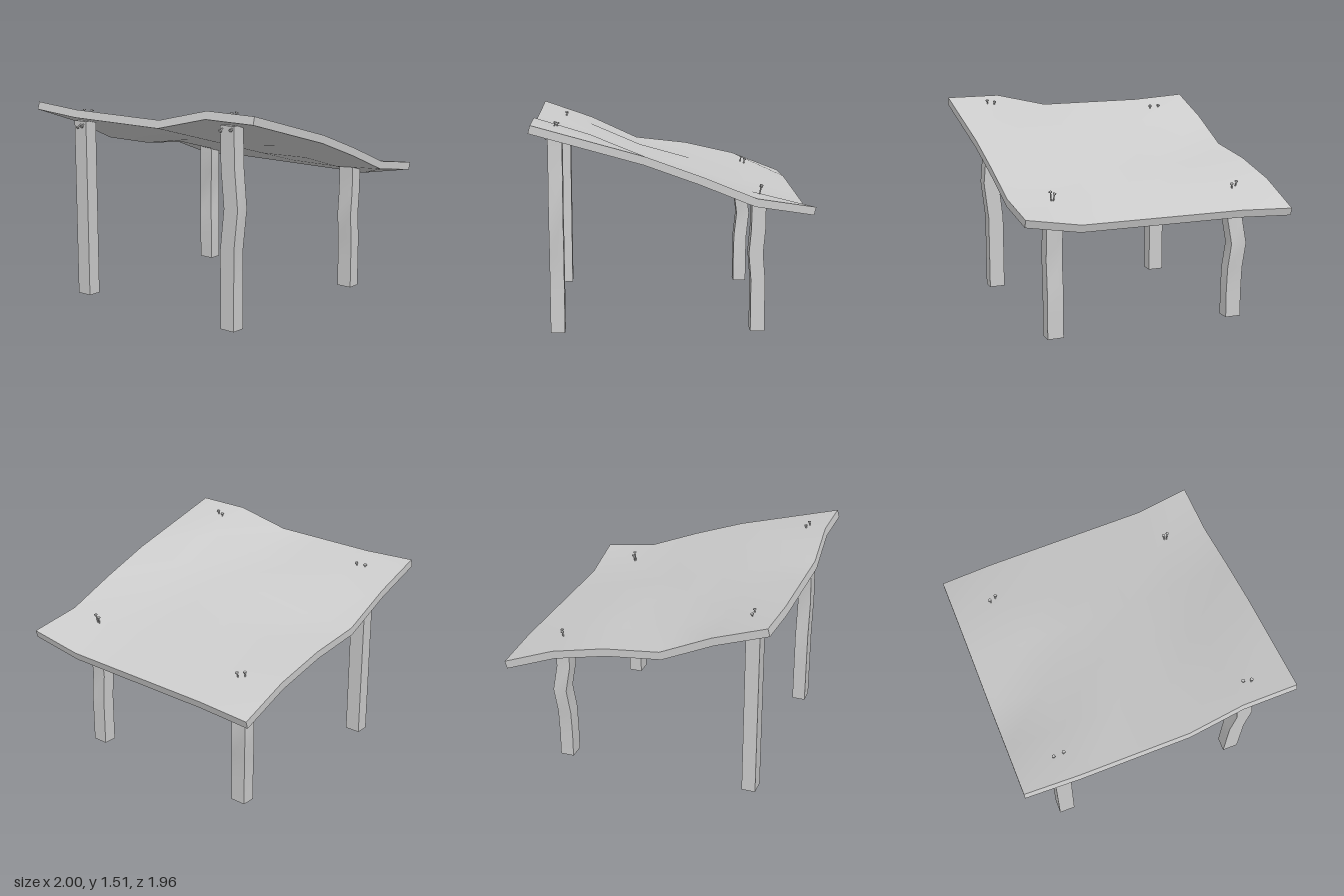
import * as THREE from 'three';

const material = new THREE.MeshStandardMaterial({ color: 0xcccccc });
const TILT = 0.274;

// Warp of the board: rows run front to back, columns from -x to +x
const WARP = [
  [0.025, 0, 0, 0, 0.1, 0.1],
  [0, 0, 0, 0, 0.09, 0.1],
  [-0.065, -0.065, 0, 0, 0.04, 0.1],
  [0, 0, 0, 0, 0.01, 0.07],
  [0.02, 0, 0, 0, 0, 0.025],
  [-0.02, 0, 0, 0, 0, 0.075],
];

function addMesh(parent, geometry, name) {
  const mesh = new THREE.Mesh(geometry, material);
  mesh.name = name;
  parent.add(mesh);
  return mesh;
}

// Tilted, warped slab
function boardGeometry() {
  const g = new THREE.BoxGeometry(2, 0.057, 2, 5, 1, 5);
  const p = g.attributes.position;
  for (let i = 0; i < p.count; i++) {
    const col = Math.round((p.getX(i) + 1) / 0.4);
    const row = Math.round((1 - p.getZ(i)) / 0.4);
    p.setY(i, p.getY(i) + WARP[row][col]);
  }
  g.rotateX(-TILT).translate(0, 1.117, 0);
  g.computeVertexNormals();
  return g;
}

// Square post in five sections; bends maps a section ring to its [x, z] shift
function legGeometry(height, bends) {
  const g = new THREE.BoxGeometry(0.118, height, 0.1, 1, 5, 1);
  g.translate(0, height / 2, 0);
  const p = g.attributes.position;
  for (let i = 0; i < p.count; i++) {
    const [dx, dz] = bends[Math.round((p.getY(i) / height) * 5)] || [0, 0];
    p.setX(i, p.getX(i) + dx);
    p.setZ(i, p.getZ(i) + dz);
  }
  g.computeVertexNormals();
  return g;
}

// Nail with its head at the given point, its shaft running along dir
function addNail(parent, head, dir, name) {
  const nail = new THREE.Group();
  nail.name = name;
  addMesh(nail, new THREE.CylinderGeometry(0.012, 0.012, 0.008, 10), 'nailHead');
  addMesh(nail, new THREE.CylinderGeometry(0.005, 0.005, 0.08, 8), 'nailShaft').position.y = -0.04;
  nail.position.set(...head);
  nail.quaternion.setFromUnitVectors(
    new THREE.Vector3(0, -1, 0), new THREE.Vector3(...dir).normalize());
  parent.add(nail);
}

export function createModel() {
  const model = new THREE.Group();
  model.name = 'slopedTable';
  addMesh(model, boardGeometry(), 'board');

  // Legs
  const legs = [
    ['frontRightLeg', -0.695, 0.78, 1.31, {}],
    ['frontLeftLeg', 0.692, 0.78, 1.41, { 3: [0.032, 0], 4: [0.006, 0] }],
    ['backRightLeg', -0.695, -0.63, 0.93, { 2: [-0.006, -0.004], 3: [-0.023, -0.025] }],
    ['backLeftLeg', 0.692, -0.63, 0.94, { 3: [0, 0.016] }],
  ];
  for (const [name, x, z, height, bends] of legs) {
    addMesh(model, legGeometry(height, bends), name).position.set(x, 0, z);
  }

  // Nails driven down through the board
  const topNails = [
    [-0.72, 1.385, 0.76], [-0.645, 1.385, 0.755],
    [0.675, 1.485, 0.76], [0.73, 1.495, 0.775],
    [-0.72, 1.01, -0.64], [-0.67, 1.0, -0.665],
    [0.68, 1.03, -0.65], [0.71, 1.045, -0.65],
  ];
  topNails.forEach((head, i) =>
    addNail(model, head, [i % 2 ? -0.15 : 0.1, -1, 0.2], 'boardNail'));

  // Nails driven at a slant into the legs
  const sideNails = [
    [-0.695, 1.265, 0.86], [-0.66, 1.275, 0.85],
    [0.65, 1.375, 0.85], [0.735, 1.385, 0.845],
    [-0.71, 0.86, -0.705], [-0.67, 0.87, -0.7],
  ];
  sideNails.forEach((head, i) =>
    addNail(model, head, [i % 2 ? -0.1 : 0.1, 0.7, -Math.sign(head[2])], 'legNail'));

  return model;
}
